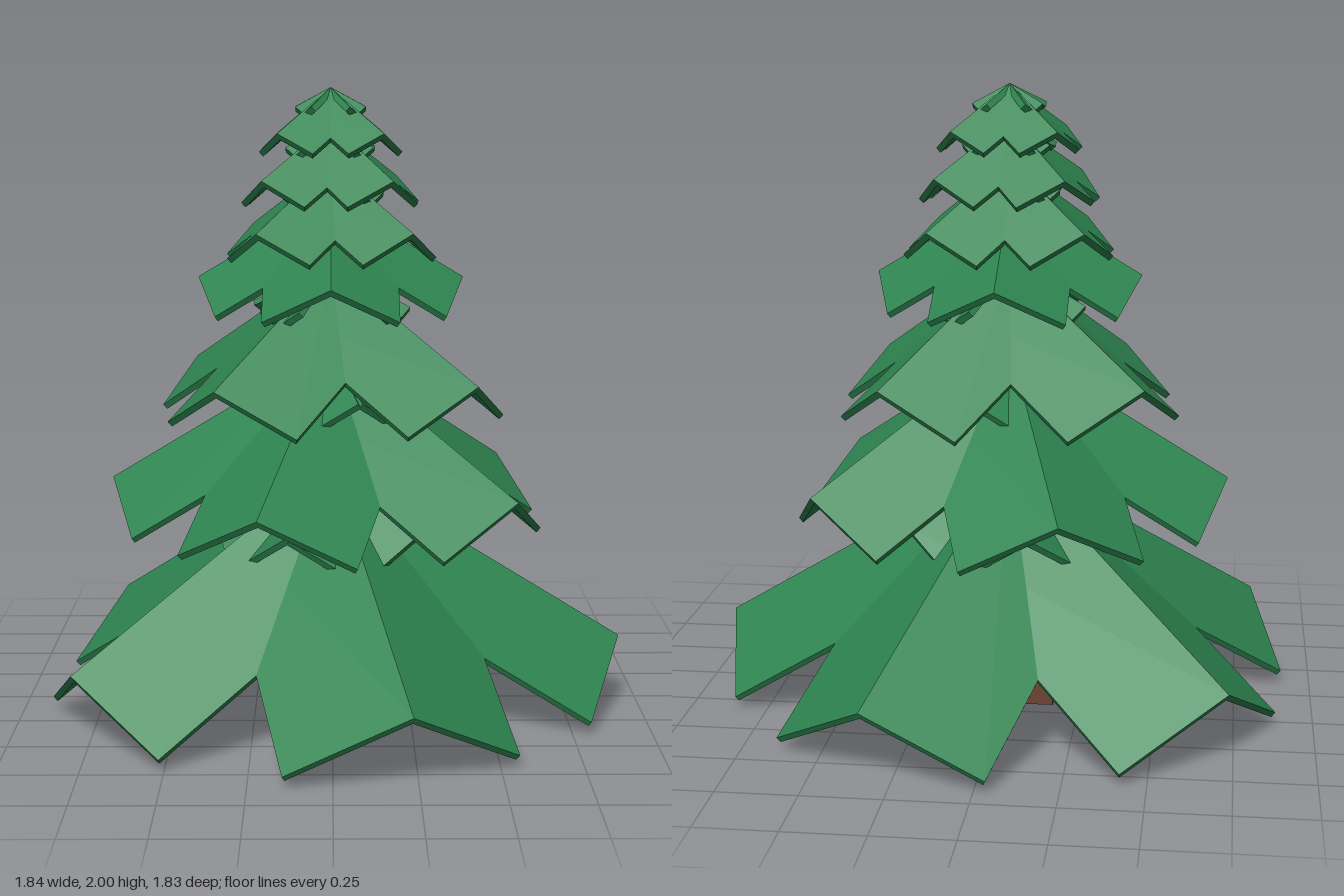
import * as THREE from 'three';

const PITCH = THREE.MathUtils.degToRad(31); // slope of each ridge
const ROLL = THREE.MathUtils.degToRad(30);  // droop of the panels beside the ridge
const THICK = 0.02;

// reach = ridge tip radius, tipY = ridge tip height, width = one panel, start = yaw in degrees
const TIERS = [
  { count: 5, start: 3.5, reach: 0.945, tipY: 0.22, width: 0.42 },
  { count: 5, start: 36, reach: 0.71, tipY: 0.74, width: 0.33 },
  { count: 4, start: 38, reach: 0.575, tipY: 1.09, width: 0.3 },
  { count: 4, start: 0, reach: 0.425, tipY: 1.395, width: 0.245 },
  { count: 4, start: 42, reach: 0.345, tipY: 1.55, width: 0.205 },
  { count: 4, start: 48, reach: 0.29, tipY: 1.71, width: 0.175 },
  { count: 4, start: 45, reach: 0.235, tipY: 1.855, width: 0.14 },
];

// bottom, top and side length of the stacked trunk blocks
const TRUNK = [
  [0, 0.36, 0.32],
  [0.36, 0.72, 0.26],
  [0.72, 1.1, 0.19],
  [1.1, 1.42, 0.14],
  [1.42, 1.9, 0.09],
];

export function createModel() {
  const needles = new THREE.MeshStandardMaterial({ name: 'needle green', color: 0x2e8450 });
  const bark = new THREE.MeshStandardMaterial({ name: 'bark brown', color: 0x6b4331 });
  const tree = new THREE.Group();
  tree.name = 'firTree';
  tree.position.set(-0.005, 0, -0.02);

  // Trunk
  const trunk = new THREE.Group();
  trunk.name = 'trunk';
  TRUNK.forEach(([y0, y1, side], i) => {
    const block = new THREE.Mesh(new THREE.BoxGeometry(side, y1 - y0, side), bark);
    block.name = `trunkBlock${i + 1}`;
    block.position.y = (y0 + y1) / 2;
    trunk.add(block);
  });
  tree.add(trunk);

  // Tiers of folded boughs, each a pair of panels hinged along a sloping ridge
  TIERS.forEach(({ count, start, reach, tipY, width }, t) => {
    const tier = new THREE.Group();
    tier.name = `branchTier${t + 1}`;
    tier.position.y = tipY + reach * Math.tan(PITCH);
    const length = reach / Math.cos(PITCH);
    for (let i = 0; i < count; i++) {
      const bough = new THREE.Group();
      bough.name = `bough${i + 1}`;
      bough.rotation.y = -THREE.MathUtils.degToRad(start + (i * 360) / count);
      for (const side of [-1, 1]) {
        const geometry = new THREE.BoxGeometry(length, THICK, width);
        geometry.translate(length / 2, -THICK / 2, (side * width) / 2);
        const panel = new THREE.Mesh(geometry, needles);
        panel.name = side < 0 ? 'boughPanelA' : 'boughPanelB';
        panel.rotation.set(side * ROLL, 0, -PITCH, 'YZX');
        bough.add(panel);
      }
      tier.add(bough);
    }
    tree.add(tier);
  });

  const model = new THREE.Group();
  model.name = 'model';
  model.add(tree);
  return model;
}
